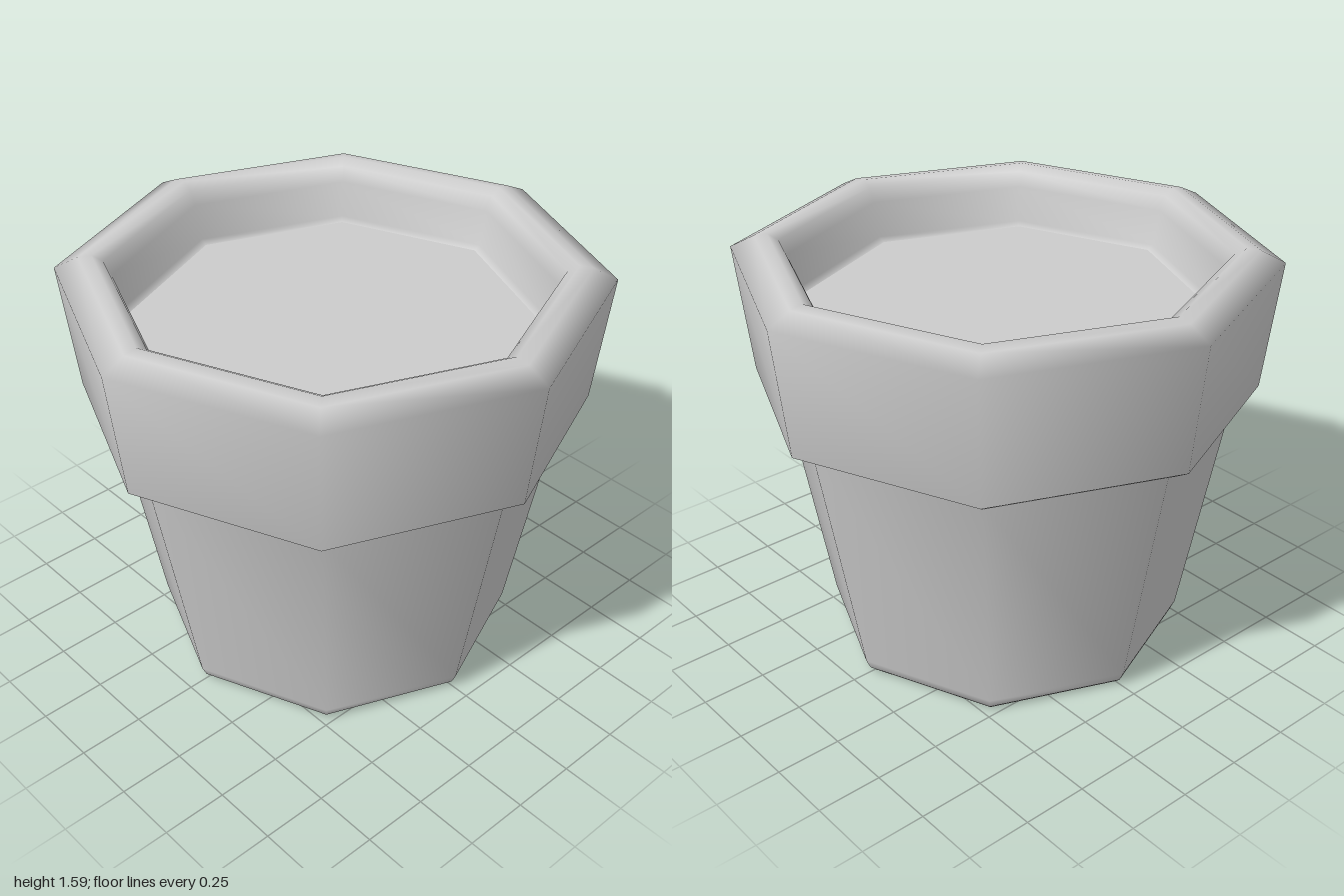
import * as THREE from 'three';
import { mergeVertices } from 'three/addons/utils/BufferGeometryUtils.js';

const SIDES = 8;

// Eight-sided lathe with welded, area-weighted smooth normals
function turned(name, profile, material) {
  const points = profile.map(([r, y]) => new THREE.Vector2(r, y));
  const lathe = new THREE.LatheGeometry(points, SIDES);
  lathe.deleteAttribute('uv');
  lathe.deleteAttribute('normal');
  const geometry = mergeVertices(lathe, 1e-4);
  geometry.computeVertexNormals();
  const mesh = new THREE.Mesh(geometry, material);
  mesh.name = name;
  return mesh;
}

export function createModel() {
  const group = new THREE.Group();
  group.name = 'flowerPot';
  const grey = new THREE.MeshStandardMaterial({ color: 0xcccccc });

  // Tapered body with a bevelled, closed base
  group.add(turned('potBody', [
    [0, 0], [0.65, 0], [0.672, 0.02], [0.69, 0.06], [0.86, 1.01],
  ], grey));

  // Thick collar: underside, flared outer wall, rounded lip, inner wall
  group.add(turned('rim', [
    [0.86, 1.01], [0.89, 1.01], [0.945, 1.045], [1, 1.535],
    [0.91, 1.58], [0.86, 1.588], [0.82, 1.565], [0.795, 1.51], [0.765, 1.375], [0.74, 1.36],
  ], grey));

  // Flat soil surface inside the collar
  group.add(turned('soil', [[0.74, 1.36], [0, 1.36]], grey));

  return group;
}
